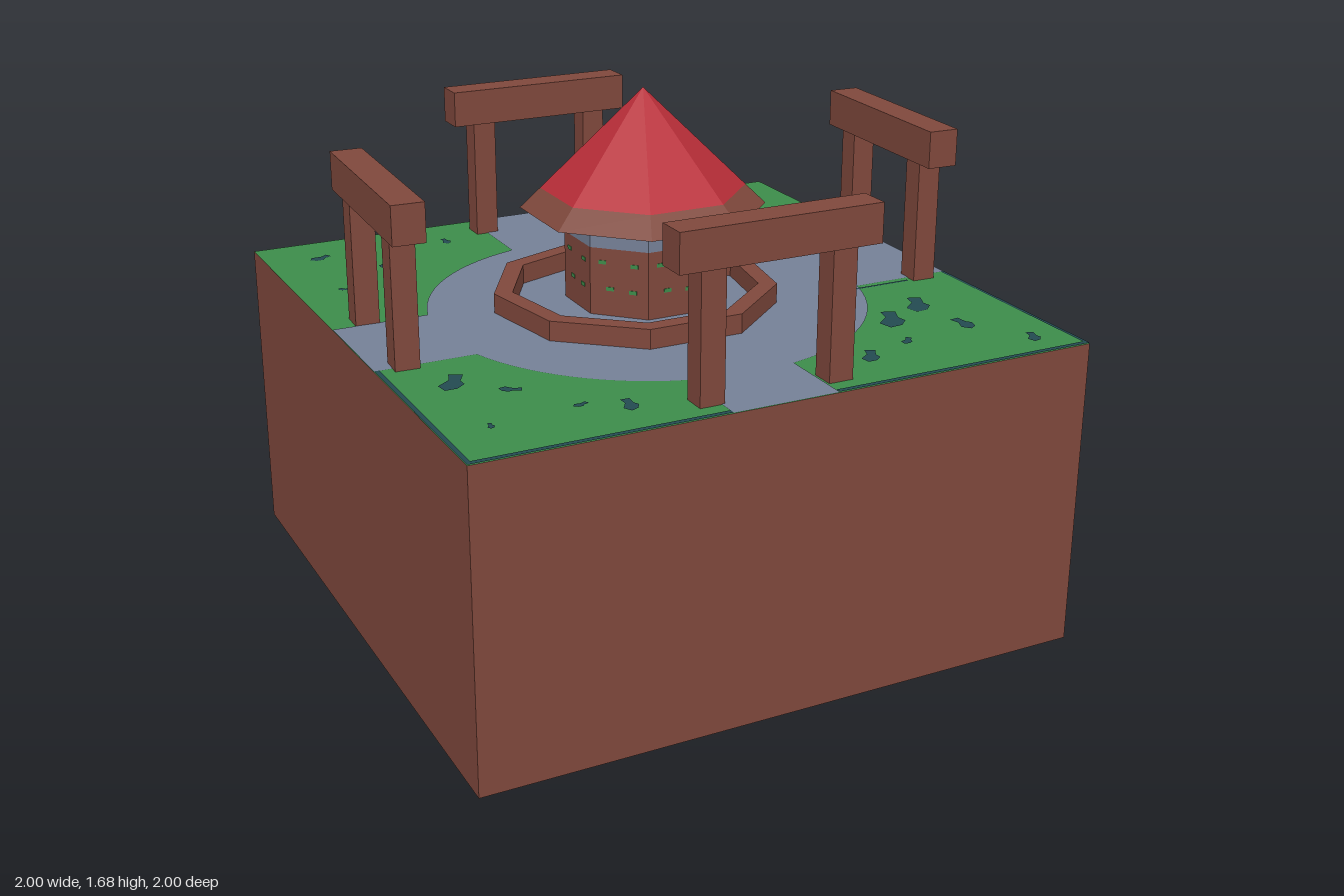
import * as THREE from 'three';

const mat = (name, color) => Object.assign(new THREE.MeshStandardMaterial({ color }), { name });

export function createModel() {
  const brown = mat('brown', 0x7f483c);
  const green = mat('grass green', 0x3c8c4a);
  const slate = mat('slate', 0x758097);
  const red = mat('red', 0xb82d38);
  const teal = mat('dark teal', 0x234a50);
  const model = new THREE.Group();
  model.name = 'gardenShrine';

  const add = (parent, name, geo, material, x = 0, y = 0, z = 0) => {
    const mesh = new THREE.Mesh(geo, material);
    mesh.name = name;
    mesh.position.set(x, y, z);
    parent.add(mesh);
    return mesh;
  };
  // flat-faced prism or cone with a flat side facing +z
  const prism = (rTop, rBottom, h, sides, open = false) => {
    const g = new THREE.CylinderGeometry(rTop, rBottom, h, sides, 1, open)
      .rotateY(Math.PI / sides).toNonIndexed();
    g.computeVertexNormals();
    return g;
  };
  // horizontal face from [x, z] points
  const patch = (pts) => new THREE.ShapeGeometry(
    new THREE.Shape(pts.map(([x, z]) => new THREE.Vector2(x, -z)))).rotateX(-Math.PI / 2);

  // earth block with a grass top
  add(model, 'earthBlock', new THREE.BoxGeometry(2, 1, 2),
    [brown, brown, green, brown, brown, brown], 0, 0.5, 0);

  // round plaza with four path arms, as one outline
  const cx = -0.015, cz = 0.06, R = 0.7;
  const as = (z) => Math.asin((z - cz) / R), ac = (x) => Math.acos((x - cx) / R);
  const arms = [
    [as(-0.18), as(0.24), [1, -0.18], [1, 0.24]],
    [ac(0.12), ac(-0.22), [0.12, 1], [-0.22, 1]],
    [Math.PI - as(0.27), Math.PI - as(-0.12), [-1, 0.27], [-1, -0.12]],
    [2 * Math.PI - ac(-0.2), 2 * Math.PI - ac(0.24), [-0.2, -1], [0.24, -1]],
  ];
  const outline = [];
  arms.forEach(([start, end, p, q], i) => {
    const next = i < 3 ? arms[i + 1][0] : arms[0][0] + 2 * Math.PI;
    outline.push(p, q);
    for (let k = 0; k <= 14; k++) {
      const a = end + (next - end) * k / 14;
      outline.push([cx + R * Math.cos(a), cz + R * Math.sin(a)]);
    }
  });
  add(model, 'plazaAndPaths', patch(outline), slate, 0, 1.002, 0);

  // dark trim along the lawn edges
  const trim = (x0, x1, z0, z1) => add(model, 'lawnTrim',
    patch([[x0, z0], [x1, z0], [x1, z1], [x0, z1]]), teal, 0, 1.003, 0);
  trim(-1, -0.985, 0.27, 1);
  trim(0.988, 1, 0.24, 1);
  trim(-1, -0.22, 0.982, 1);
  trim(0.12, 1, 0.982, 1);
  trim(0.64, 0.84, 0.262, 0.272);

  // dark tufts in the lawn: x, z, length, turn
  const tufts = [
    [-0.82, -0.82, 0.08, 0.2], [-0.63, -0.66, 0.11, 0.8], [-0.37, -0.81, 0.06, 1.4],
    [0.44, -0.83, 0.09, 0.3], [0.69, -0.8, 0.07, -0.4], [0.62, -0.64, 0.07, -0.9],
    [0.61, -0.53, 0.06, -1.3], [0.44, -0.61, 0.04, 1.4], [0.79, -0.48, 0.04, 1.2],
    [-0.85, -0.47, 0.04, -0.7], [-0.7, -0.36, 0.04, 0], [-0.83, 0.45, 0.13, 0.8],
    [-0.7, 0.57, 0.07, -0.7], [-0.85, 0.79, 0.04, 1.2], [-0.57, 0.76, 0.05, 0.1],
    [-0.45, 0.82, 0.09, 1.2], [0.35, 0.8, 0.1, 0.8], [0.58, 0.56, 0.15, 0.9],
    [0.73, 0.48, 0.14, 0.9], [0.76, 0.69, 0.1, 1.4], [0.52, 0.74, 0.06, 0.6],
    [0.88, 0.88, 0.08, 1],
  ];
  const tuftShape = [[-0.5, 0.05], [-0.3, -0.2], [0.1, -0.12], [0.4, -0.26],
    [0.5, 0.05], [0.15, 0.14], [0, 0.3], [-0.3, 0.26]];
  for (const [x, z, s, turn] of tufts) {
    const tuft = add(model, 'grassTuft', patch(tuftShape), teal, x, 1.003, z);
    tuft.scale.set(s, 1, s);
    tuft.rotation.y = turn;
  }

  // low nine-sided kerb
  const polygon = (r) => Array.from({ length: 9 }, (_, i) => {
    const a = Math.PI / 2 + i * 2 * Math.PI / 9;
    return new THREE.Vector2(r * Math.cos(a), r * Math.sin(a));
  });
  const kerb = new THREE.Shape(polygon(0.455));
  kerb.holes.push(new THREE.Path(polygon(0.395)));
  add(model, 'kerbRing', new THREE.ExtrudeGeometry(kerb, { depth: 0.065, bevelEnabled: false })
    .rotateX(-Math.PI / 2), brown, -0.05, 1, 0.035);

  // pavilion: eight-sided body, upper band, eave and pointed roof
  const pavilion = new THREE.Group();
  pavilion.name = 'pavilion';
  model.add(pavilion);
  add(pavilion, 'body', prism(0.25, 0.25, 0.22, 8), brown, 0, 1.11, 0);
  add(pavilion, 'upperBand', prism(0.25, 0.25, 0.08, 8, true), slate, 0, 1.26, 0);
  add(pavilion, 'eave', prism(0.325, 0.39, 0.063, 8), brown, 0, 1.3315, 0);
  add(pavilion, 'roof', prism(0, 0.325, 0.317, 8, true), red, 0, 1.5215, 0);

  // small leaf flecks on each wall
  const flecks = [[-0.055, 1.175], [0.05, 1.17], [-0.03, 1.09], [0.045, 1.085]];
  for (let i = 0; i < 8; i++) {
    const wall = new THREE.Group();
    wall.name = 'wallFlecks';
    wall.rotation.y = i * Math.PI / 4;
    pavilion.add(wall);
    for (const [x, y] of flecks) {
      add(wall, 'leafFleck', new THREE.BoxGeometry(0.025, 0.012, 0.003), green, x, y, 0.2315);
    }
  }

  // four gates: x, z, turn
  const gates = [
    [-0.04, 0.892, 0], [0.01, -0.88, 0],
    [-0.895, 0.05, -Math.PI / 2 - 0.047], [0.905, 0.03, -Math.PI / 2 - 0.04],
  ];
  for (const [x, z, turn] of gates) {
    const gate = new THREE.Group();
    gate.name = 'gate';
    gate.position.set(x, 1, z);
    gate.rotation.y = turn;
    model.add(gate);
    add(gate, 'gateBeam', new THREE.BoxGeometry(0.64, 0.12, 0.1), brown, 0, 0.46, 0);
    for (const side of [-1, 1]) {
      add(gate, 'gatePost', new THREE.BoxGeometry(0.078, 0.4, 0.076), brown, side * 0.208, 0.2, 0);
    }
  }
  return model;
}
